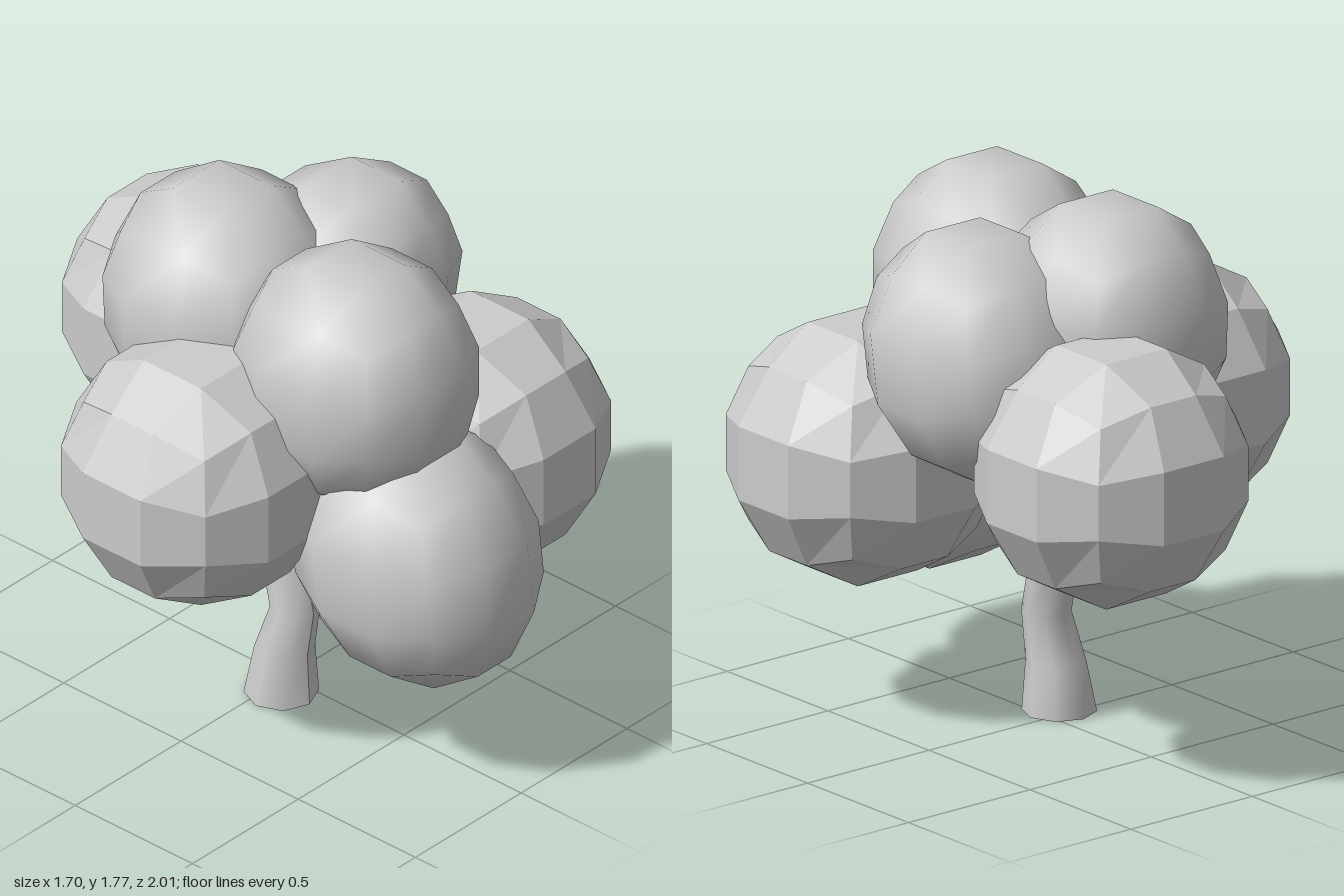
import * as THREE from 'three';
import { mergeVertices } from 'three/addons/utils/BufferGeometryUtils.js';

const grey = new THREE.MeshStandardMaterial({ color: 0xcccccc });
const faceted = new THREE.MeshStandardMaterial({ color: 0xcccccc, flatShading: true });

// Ball made from a cube of 3 x 3 quads per side, pushed out to a sphere.
// half = half extents, shear = drift of z with height
function ball(name, centre, half, smooth, shear = 0) {
  let geo = new THREE.BoxGeometry(2, 2, 2, 3, 3, 3);
  const pos = geo.attributes.position;
  const v = new THREE.Vector3();
  const ease = (c) => (Math.abs(c) < 0.5 ? Math.sign(c) * 0.3 : Math.sign(c));
  for (let i = 0; i < pos.count; i++) {
    v.fromBufferAttribute(pos, i);
    v.set(ease(v.x), ease(v.y), ease(v.z)).normalize().multiplyScalar(1 / 0.92);
    v.multiply(new THREE.Vector3(...half));
    v.z += v.y * shear;
    pos.setXYZ(i, v.x, v.y, v.z);
  }
  if (smooth) {
    geo.deleteAttribute('normal');
    geo.deleteAttribute('uv');
    geo = mergeVertices(geo, 1e-4);
  }
  geo.computeVertexNormals();
  const mesh = new THREE.Mesh(geo, smooth ? grey : faceted);
  mesh.name = name;
  mesh.position.set(...centre);
  return mesh;
}

// Bent, tapering trunk: rings of [x, y, z, radius]
function trunk() {
  const rings = [
    [-0.07, 0, 0.04, 0.12],
    [-0.06, 0.17, 0.045, 0.097],
    [-0.05, 0.33, 0.08, 0.08],
    [-0.04, 0.49, 0.035, 0.08],
    [-0.02, 0.88, -0.07, 0.05],
  ];
  const geo = new THREE.CylinderGeometry(1, 1, 1, 8, rings.length - 1);
  const pos = geo.attributes.position;
  for (let i = 0; i < pos.count; i++) {
    const [x, y, z, r] = rings[Math.round((pos.getY(i) + 0.5) * (rings.length - 1))];
    pos.setXYZ(i, x + pos.getX(i) * r, y, z + pos.getZ(i) * r);
  }
  geo.computeVertexNormals();
  const mesh = new THREE.Mesh(geo, grey);
  mesh.name = 'trunk';
  return mesh;
}

// Thin straight stick between two points
function branch(from, to) {
  const a = new THREE.Vector3(...from);
  const b = new THREE.Vector3(...to);
  const dir = b.clone().sub(a);
  const mesh = new THREE.Mesh(new THREE.CylinderGeometry(0.016, 0.02, dir.length(), 8), grey);
  mesh.position.copy(a).add(b).multiplyScalar(0.5);
  mesh.quaternion.setFromUnitVectors(new THREE.Vector3(0, 1, 0), dir.normalize());
  mesh.name = 'branch';
  return mesh;
}

export function createModel() {
  const tree = new THREE.Group();
  tree.name = 'tree';
  tree.add(trunk());

  // Branches fanning out from the trunk top into the foliage
  const branches = new THREE.Group();
  branches.name = 'branches';
  const tips = [
    [0.24, 0.86, 0.2], [-0.28, 0.9, -0.04], [0.12, 0.78, -0.38], [-0.05, 0.78, 0.35],
    [-0.05, 1.1, 0.2], [-0.04, 1.1, -0.2], [0.15, 1.1, -0.14],
  ];
  tips.forEach((tip) => branches.add(branch([-0.02, 0.82, -0.06], tip)));
  tree.add(branches);

  // Faceted outer foliage
  const round = [0.41, 0.41, 0.41];
  tree.add(
    ball('leftFoliage', [0.44, 0.9, 0.4], round, false),
    ball('rightFoliage', [-0.44, 1.02, 0.02], round, false),
    ball('backFoliage', [0.24, 1.04, -0.59], round, false),
  );

  // Smooth foliage
  tree.add(
    ball('frontFoliage', [-0.05, 0.785, 0.6], [0.35, 0.415, 0.39], true, -0.12),
    ball('upperFrontFoliage', [-0.07, 1.35, 0.36], [0.35, 0.4, 0.38], true),
    ball('upperBackFoliage', [-0.04, 1.36, -0.22], [0.365, 0.41, 0.37], true, -0.05),
    ball('upperLeftFoliage', [0.33, 1.315, -0.08], [0.375, 0.385, 0.35], true, 0.16),
  );
  return tree;
}
